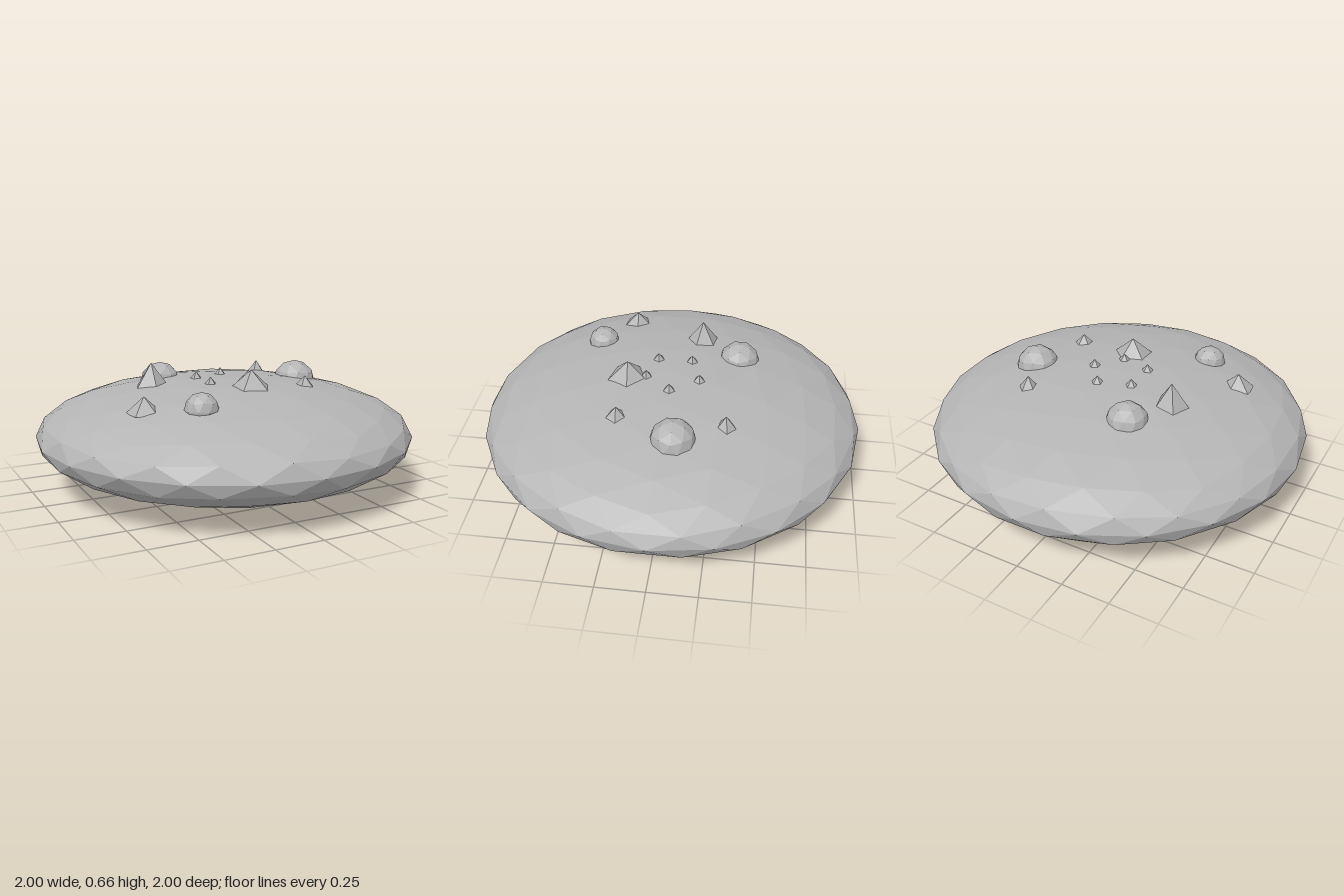
import * as THREE from 'three';

const HALF_HEIGHT = 0.284;

// Faceted unit sphere with a vertex at each pole, split by repeated midpoints
function facetedSphere(levels) {
  let geo = new THREE.IcosahedronGeometry(1, 0);
  for (let i = 0; i < levels; i++) {
    const points = Array.from(geo.attributes.position.array);
    geo = new THREE.PolyhedronGeometry(points, points.slice(0, points.length / 3).map((_, k) => k), 1, 1);
  }
  geo.rotateZ(-Math.atan(2 / (1 + Math.sqrt(5))));
  return geo;
}

// Separate the faces so that each one gets its own flat normal
function flat(geo) {
  const out = geo.index ? geo.toNonIndexed() : geo;
  out.computeVertexNormals();
  return out;
}

// Height of the disc's upper surface
const surfaceY = (x, z) => HALF_HEIGHT * (1 + Math.sqrt(1 - x * x - z * z));

export function createModel() {
  const group = new THREE.Group();
  const stone = new THREE.MeshStandardMaterial({ color: 0xb4b4b4 });
  stone.name = 'stone grey';

  function add(name, geo) {
    const mesh = new THREE.Mesh(flat(geo), stone);
    mesh.name = name;
    group.add(mesh);
  }

  // Flattened faceted body
  add('body', facetedSphere(2).scale(1, HALF_HEIGHT, 1).translate(0, HALF_HEIGHT, 0));

  // Round boulders half sunk into the top: x, z, radius, top height
  const boulders = [
    [-0.23, -0.34, 0.11, 0.62],
    [0.477, -0.063, 0.116, 0.62],
    [-0.33, 0.425, 0.085, 0.598],
  ];
  boulders.forEach(([x, z, r, top], i) => {
    add('boulder' + (i + 1), facetedSphere(1).scale(r, r, r).translate(x, top - r, z));
  });

  // Five-sided spikes: x, z, radius, tip height, angle of a corner from +x in degrees
  const spikes = [
    [0.043, 0.227, 0.118, 0.645, -5],
    [-0.365, -0.128, 0.095, 0.658, 22],
    [-0.562, 0.268, 0.09, 0.57, -6],
    [0.367, -0.312, 0.058, 0.59, -9],
    [0.36, 0.235, 0.064, 0.59, -4],
    [-0.12, -0.094, 0.044, 0.598, -6],
    [0.05, -0.148, 0.044, 0.598, -6],
    [0.15, -0.003, 0.044, 0.6, -6],
    [-0.12, 0.085, 0.044, 0.598, -6],
    [0.043, 0.13, 0.044, 0.598, -6],
  ];
  spikes.forEach(([x, z, r, tip, angle], i) => {
    const base = surfaceY(x, z) - 0.02;
    const start = THREE.MathUtils.degToRad(90 - angle);
    const cone = new THREE.ConeGeometry(r, tip - base, 5, 1, false, start);
    add('spike' + (i + 1), cone.translate(x, (tip + base) / 2, z));
  });

  return group;
}
